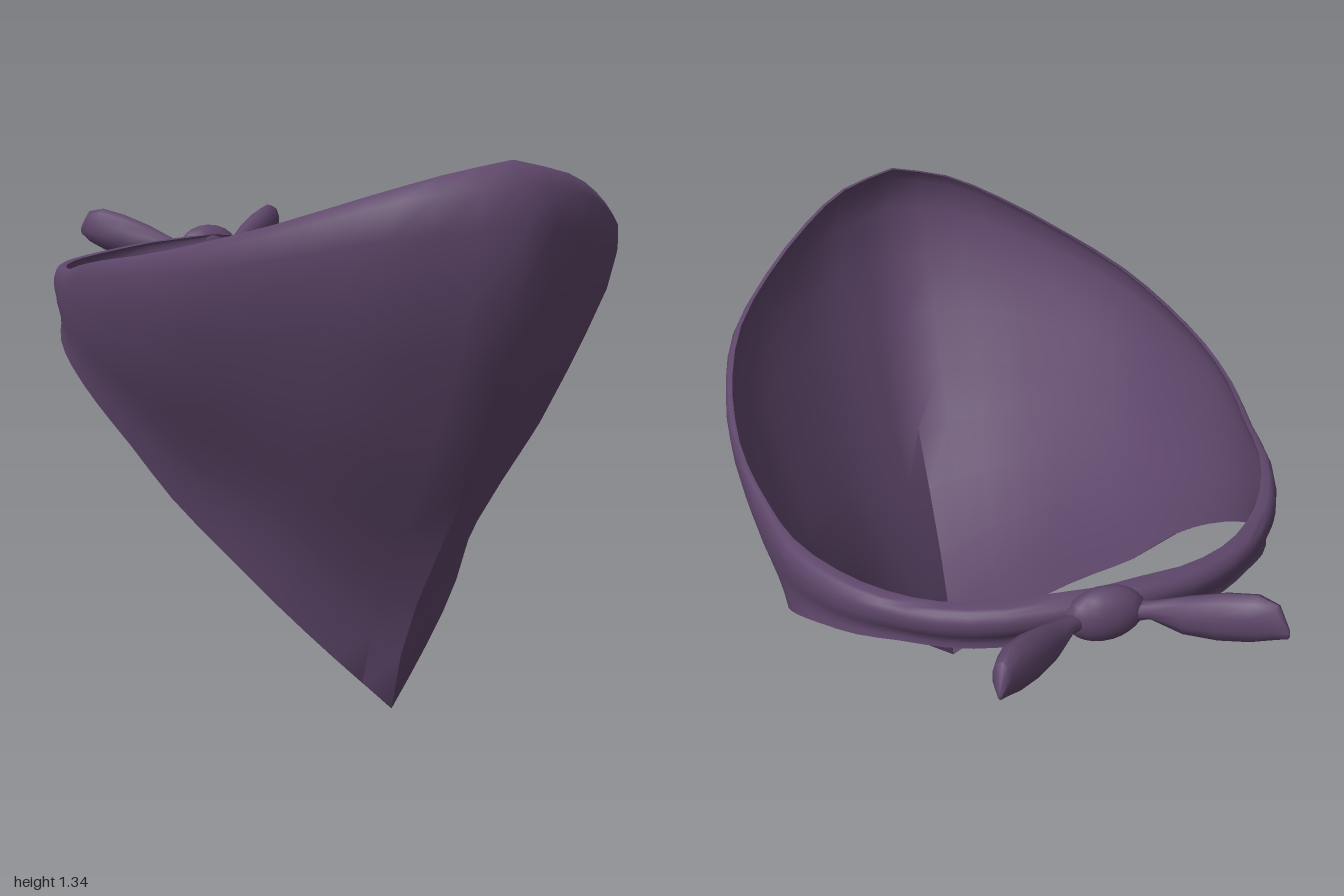
import * as THREE from 'three';
import { toCreasedNormals } from 'three/addons/utils/BufferGeometryUtils.js';

// Skin a list of closed rings; loop joins the last ring back to the first
function loft(rings, loop) {
  const n = rings[0].length, m = rings.length, index = [];
  for (let i = 0; i < (loop ? m : m - 1); i++) {
    for (let j = 0; j < n; j++) {
      const k = (i + 1) % m, l = (j + 1) % n;
      const a = i * n + j, b = i * n + l, c = k * n + j, d = k * n + l;
      index.push(a, b, c, b, d, c);
    }
  }
  const geo = new THREE.BufferGeometry().setFromPoints(rings.flat());
  geo.setIndex(index);
  return toCreasedNormals(geo, Math.PI / 3);
}

// Half of the cloth, front centre to back: top xyz, bottom xyz, bulge, thickness
const columns = [
  [0, 1.34, 0.95, 0, 0, 0.43, 1, 0.02],
  [0.15, 1.31, 0.92, 0.13, 0.13, 0.37, 0.75, 0.02],
  [0.28, 1.265, 0.83, 0.25, 0.26, 0.30, 0.62, 0.02],
  [0.42, 1.205, 0.69, 0.355, 0.39, 0.19, 0.5, 0.02],
  [0.535, 1.155, 0.52, 0.435, 0.495, 0.09, 0.38, 0.02],
  [0.595, 1.12, 0.34, 0.51, 0.62, 0, 0.26, 0.02],
  [0.625, 1.095, 0.16, 0.56, 0.71, -0.10, 0.17, 0.02],
  [0.63, 1.07, 0, 0.587, 0.79, -0.22, 0.1, 0.02],
  [0.61, 1.045, -0.16, 0.585, 0.845, -0.32, 0.1, 0.022],
  [0.588, 1.04, -0.30, 0.55, 0.885, -0.42, 0.13, 0.03],
  [0.525, 1.04, -0.45, 0.49, 0.915, -0.52, 0.15, 0.04],
  [0.44, 1.042, -0.565, 0.41, 0.935, -0.595, 0.15, 0.045],
  [0.34, 1.048, -0.65, 0.325, 0.945, -0.66, 0.15, 0.05],
  [0.21, 1.06, -0.71, 0.21, 0.955, -0.71, 0.15, 0.055],
  [0, 1.075, -0.745, 0, 0.985, -0.745, 0.15, 0.055],
];

// Outward curve of the cloth from its top edge to its bottom edge
const heights = [0, 0.03, 0.1, 0.22, 0.33, 0.44, 0.55, 0.66, 0.78, 0.89, 1];
const bulges = [0, 0.05, 0.1, 0.138, 0.14, 0.128, 0.105, 0.055, 0.008, -0.012, 0];

function clothGeometry() {
  const curve = (k) => new THREE.CatmullRomCurve3(
    columns.map((c) => new THREE.Vector3(c[k], c[k + 1], c[k + 2] ?? 0)));
  const top = curve(0), bottom = curve(3), shape = curve(6);
  const steps = 28, half = [];
  for (let i = 0; i <= steps; i++) {
    const u = i / steps;
    const t = top.getPoint(u), b = bottom.getPoint(u), s = shape.getPoint(u);
    const tan = top.getTangent(u);
    const out = new THREE.Vector3(-tan.z, 0, tan.x);
    if (i === 0 || i === steps) {
      out.x = 0;
      t.x = b.x = 0;
    }
    out.normalize();
    const outer = heights.map((h, j) =>
      t.clone().lerp(b, h).addScaledVector(out, bulges[j] * s.x));
    const inner = outer.map((p, j) =>
      p.clone().addScaledVector(out, -s.y * (0.5 + 0.5 * Math.sin(Math.PI * heights[j]))));
    half.push([...outer, ...inner.reverse()]);
  }
  // Mirror the inner columns to complete the loop
  const other = half.slice(1, -1).reverse().map((ring) =>
    ring.map((p) => new THREE.Vector3(-p.x, p.y, p.z)));
  return loft([...half, ...other], true);
}

// Leaf-shaped loose end of the cloth; each station: x, y, z, half height, half thickness
function tailGeometry(side) {
  const stations = [
    [0.03, 1.03, -0.75, 0.02, 0.02],
    [0.10, 1.04, -0.785, 0.022, 0.022],
    [0.155, 1.05, -0.835, 0.048, 0.032],
    [0.215, 1.068, -0.885, 0.06, 0.037],
    [0.265, 1.085, -0.93, 0.06, 0.035],
    [0.297, 1.092, -0.965, 0.045, 0.023],
    [0.312, 1.08, -0.995, 0.012, 0.006],
    [0.313, 1.078, -0.999, 0.0005, 0.0005],
  ];
  const up = new THREE.Vector3(0, 1, 0);
  const across = new THREE.Vector3(side * 0.72, 0, -0.69).cross(up).normalize();
  return loft(stations.map(([x, y, z, h, w]) =>
    Array.from({ length: 10 }, (_, j) => {
      const a = (j / 10) * Math.PI * 2;
      return new THREE.Vector3(side * x, y, z)
        .addScaledVector(up, h * Math.cos(a))
        .addScaledVector(across, w * Math.sin(a));
    })), false);
}

export function createModel() {
  const group = new THREE.Group();
  group.name = 'neckerchief';
  const fabric = new THREE.MeshStandardMaterial({ color: 0x5f476b });
  fabric.name = 'purple fabric';

  const add = (name, geometry) => {
    const mesh = new THREE.Mesh(geometry, fabric);
    mesh.name = name;
    group.add(mesh);
    return mesh;
  };

  // Triangular cloth tapering to a rolled band at the back
  add('cloth', clothGeometry());

  // Knot tying the band
  const knot = add('knot', new THREE.SphereGeometry(1, 14, 10));
  knot.scale.set(0.09, 0.066, 0.046);
  knot.position.set(0, 1.035, -0.758);

  // Two loose ends
  add('leftTail', tailGeometry(1));
  add('rightTail', tailGeometry(-1));
  return group;
}
